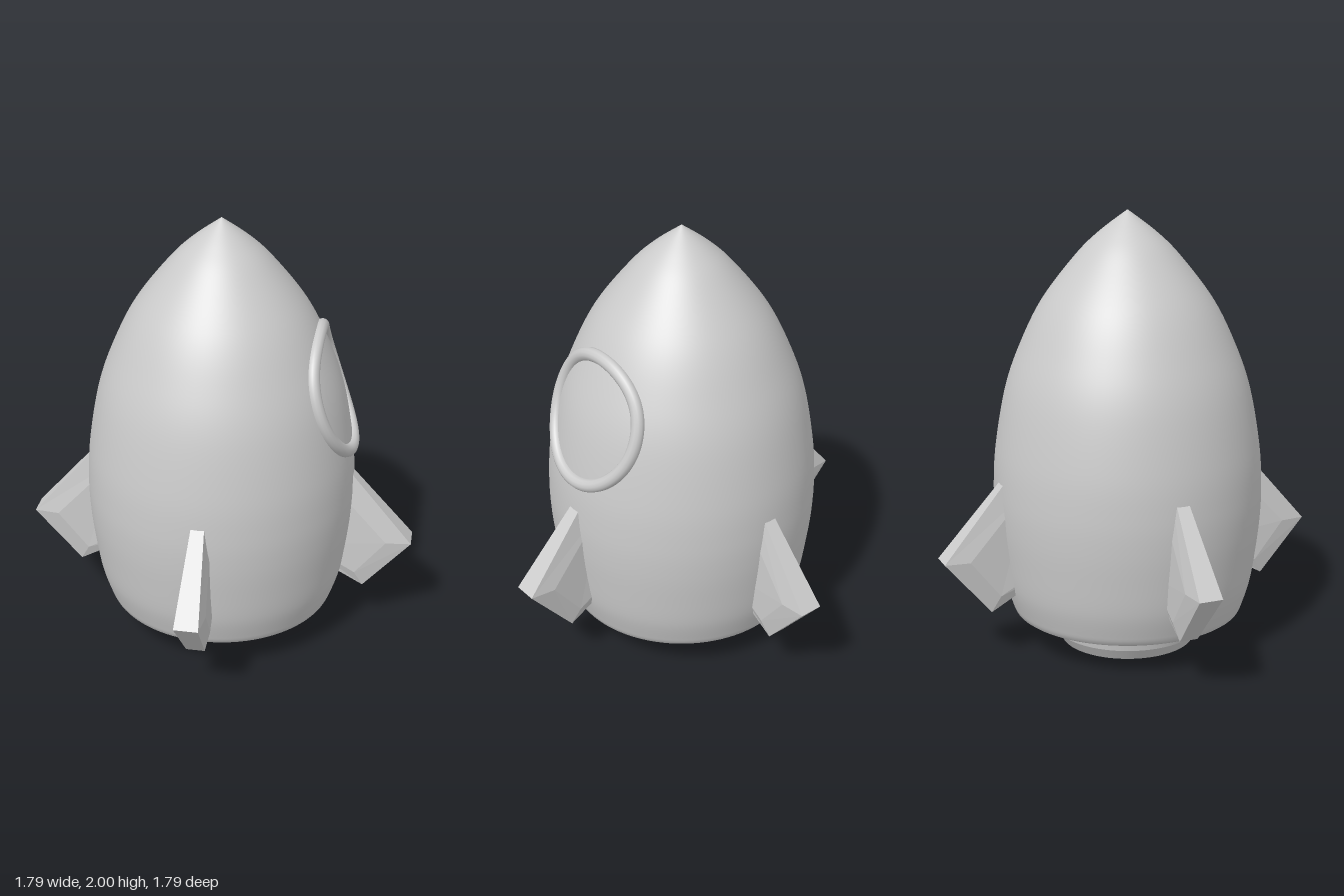
import * as THREE from 'three';

const V2 = (x, y) => new THREE.Vector2(x, y);
const material = new THREE.MeshStandardMaterial({ color: 0xcccccc });
const flatMaterial = new THREE.MeshStandardMaterial({ color: 0xcccccc, flatShading: true });

// Hull outline (radius, height), from the base edge up to the nose
const hullProfile = new THREE.SplineCurve([
  [0.536, 0.18], [0.572, 0.3], [0.595, 0.45], [0.611, 0.6], [0.615, 0.75], [0.602, 0.94],
  [0.555, 1.2], [0.485, 1.4], [0.385, 1.6], [0.232, 1.8], [0.125, 1.905], [0, 2],
].map(([r, y]) => V2(r, y))).getPoints(72);

function hullRadius(y) {
  const i = Math.max(1, hullProfile.findIndex((p) => p.y >= y));
  const a = hullProfile[i - 1], b = hullProfile[i];
  return THREE.MathUtils.lerp(a.x, b.x, (y - a.y) / (b.y - a.y));
}

function mesh(name, geometry, mat = material) {
  const m = new THREE.Mesh(geometry, mat);
  m.name = name;
  return m;
}

// Bent fin pointing along +x: a thick inner panel bevelled down to a thinner rim
function finGeometry() {
  // [radius, height, half thickness]
  const outer = [[0.5, 0.937, 0.02], [0.895, 0.48, 0.054], [0.68, 0.225, 0.042], [0.4, 0.38, 0.042]];
  const inner = [[0.5, 0.777, 0.042], [0.78, 0.48, 0.066], [0.64, 0.3, 0.059], [0.4, 0.43, 0.05]];
  const positions = [];
  const quad = (a, b, c, d) => positions.push(...a, ...b, ...c, ...a, ...c, ...d);
  const at = ([x, y, h], side) => [x, y, h * side];
  for (const s of [1, -1]) {
    const face = (...pts) => {
      const p = pts.map((q) => at(q, s));
      quad(...(s > 0 ? p : p.reverse()));
    };
    face(inner[1], inner[0], inner[3], inner[2]);
    for (let k = 0; k < 4; k++) {
      const n = (k + 1) % 4;
      face(outer[k], inner[k], inner[n], outer[n]);
    }
  }
  for (let k = 0; k < 4; k++) {
    const n = (k + 1) % 4;
    quad(at(outer[k], 1), at(outer[n], 1), at(outer[n], -1), at(outer[k], -1));
  }
  const g = new THREE.BufferGeometry();
  g.setAttribute('position', new THREE.Float32BufferAttribute(positions, 3));
  g.computeVertexNormals();
  return g;
}

export function createModel() {
  const group = new THREE.Group();
  group.name = 'rocket';

  // Hull with a flat underside and a softly rounded base edge (doubled point = sharp edge)
  const base = [V2(0, 0.15), V2(0.5, 0.15), V2(0.5, 0.15), V2(0.516, 0.152), V2(0.527, 0.16)];
  group.add(mesh('hull', new THREE.LatheGeometry([...base, ...hullProfile], 96)));

  // Nozzle: inner funnel, rim, then outer wall
  const nozzle = [
    [0, 0.118], [0.21, 0.118], [0.21, 0.118], [0.295, 0], [0.295, 0], [0.308, 0], [0.308, 0],
    [0.341, 0.052], [0.341, 0.052], [0.358, 0.14], [0.358, 0.14], [0.35, 0.155],
  ].map(([r, y]) => V2(r, y));
  group.add(mesh('nozzle', new THREE.LatheGeometry(nozzle, 64)));

  // Window frame wrapped around the curved hull
  const ringPoints = [];
  for (let i = 0; i < 64; i++) {
    const t = (i / 64) * Math.PI * 2;
    const y = 1.23 + 0.275 * Math.cos(t), z = 0.275 * Math.sin(t);
    ringPoints.push(new THREE.Vector3(Math.sqrt(hullRadius(y) ** 2 - z * z), y, z));
  }
  const ringCurve = new THREE.CatmullRomCurve3(ringPoints, true);
  group.add(mesh('windowFrame', new THREE.TubeGeometry(ringCurve, 96, 0.03, 12, true)));

  // Four fins
  const fin = finGeometry();
  ['leftFin', 'backFin', 'rightFin', 'frontFin'].forEach((name, i) => {
    const m = mesh(name, fin, flatMaterial);
    m.rotation.y = (i * Math.PI) / 2;
    group.add(m);
  });
  return group;
}
